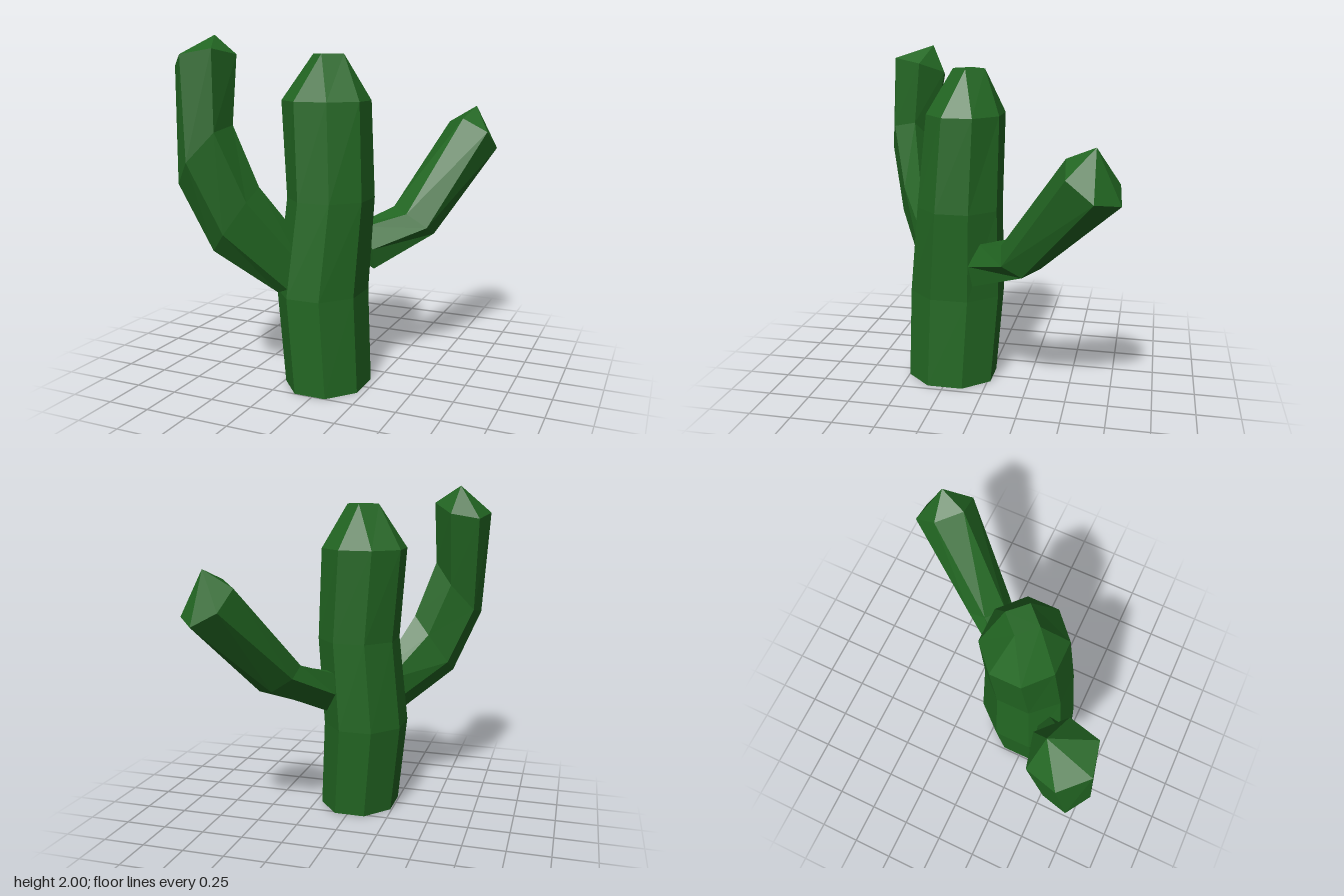
import * as THREE from 'three';

const green = new THREE.MeshStandardMaterial({ color: 0x226622, flatShading: true });
const vec = (p) => new THREE.Vector3(...p);

// Skin a stack of rings (bottom to top, counterclockwise from above), closed at both ends
function loft(name, rings) {
  const pos = [];
  const tri = (a, b, c) => {
    const area = b.clone().sub(a).cross(c.clone().sub(a)).length();
    if (area > 1e-6) for (const p of [a, b, c]) pos.push(p.x, p.y, p.z);
  };
  const centre = (ring) => ring.reduce((s, p) => s.add(p), new THREE.Vector3()).divideScalar(ring.length);
  const first = rings[0], last = rings[rings.length - 1], n = first.length;
  const c0 = centre(first), c1 = centre(last);
  for (let j = 0; j < n; j++) {
    const k = (j + 1) % n;
    for (let i = 0; i < rings.length - 1; i++) {
      const lo = rings[i], hi = rings[i + 1];
      tri(lo[j], lo[k], hi[k]);
      tri(lo[j], hi[k], hi[j]);
    }
    tri(c0, first[k], first[j]);
    tri(c1, last[j], last[k]);
  }
  const geo = new THREE.BufferGeometry();
  geo.setAttribute('position', new THREE.Float32BufferAttribute(pos, 3));
  geo.computeVertexNormals();
  const mesh = new THREE.Mesh(geo, green);
  mesh.name = name;
  return mesh;
}

// Eight-sided trunk ring; snap pulls pairs of corners together into a square
function octagon([x, y, z, rx, rz], snap = false) {
  return Array.from({ length: 8 }, (_, j) => {
    let t = (j + 0.5) * Math.PI / 4;
    if (snap) t = Math.round(t / (Math.PI / 2)) * Math.PI / 2;
    return new THREE.Vector3(x + rx * Math.cos(t), y, z - rz * Math.sin(t));
  });
}

// Six-sided arm ring from its centre and the offsets of two neighbouring corners
function hexagon([centre, first, second]) {
  const c = vec(centre), a = vec(first), b = vec(second);
  const d = b.clone().sub(a);
  const half = [a, b, d];
  return [...half, ...half.map((p) => p.clone().negate())].map((p) => p.clone().add(c));
}

// Arm: hexagonal rings ending in a pointed tip
function arm(name, sections, tip) {
  return loft(name, [...sections.map(hexagon), Array.from({ length: 6 }, () => vec(tip))]);
}

export function createModel() {
  const group = new THREE.Group();
  group.name = 'cactus';

  // Wavy trunk with a bevelled crown
  group.add(loft('trunk', [
    octagon([-0.015, 0, 0.24, 0.245, 0.28]),
    octagon([-0.06, 0.55, 0.215, 0.26, 0.295]),
    octagon([-0.02, 1.09, 0.185, 0.25, 0.26]),
    octagon([-0.06, 1.64, 0.155, 0.26, 0.235]),
    octagon([-0.055, 1.9, 0.135, 0.095, 0.095], true),
  ]));

  // Tall arm on the right, bending upward
  group.add(arm('rightArm', [
    [[-0.17, 0.70, 0.39], [-0.06, -0.13, 0.06], [0.01, -0.10, 0.08]],
    [[-0.42, 1.00, 0.57], [-0.12, -0.18, 0.05], [-0.02, -0.07, 0.11]],
    [[-0.56, 1.36, 0.64], [-0.14, -0.16, 0.06], [-0.03, -0.03, 0.145]],
    [[-0.58, 1.865, 0.58], [-0.17, -0.03, 0.04], [-0.05, 0.03, 0.17]],
  ], [-0.575, 2, 0.49]));

  // Shorter arm on the left, slanting backward
  group.add(arm('leftArm', [
    [[0.13, 0.78, 0.015], [0, 0.12, 0.025], [0.07, 0, 0.075]],
    [[0.34, 0.905, -0.245], [-0.01, 0.055, 0.115], [0.11, -0.025, 0.09]],
    [[0.59, 1.40, -0.65], [-0.03, 0.11, 0.145], [0.12, 0.03, 0.13]],
  ], [0.605, 1.58, -0.66]));

  return group;
}
